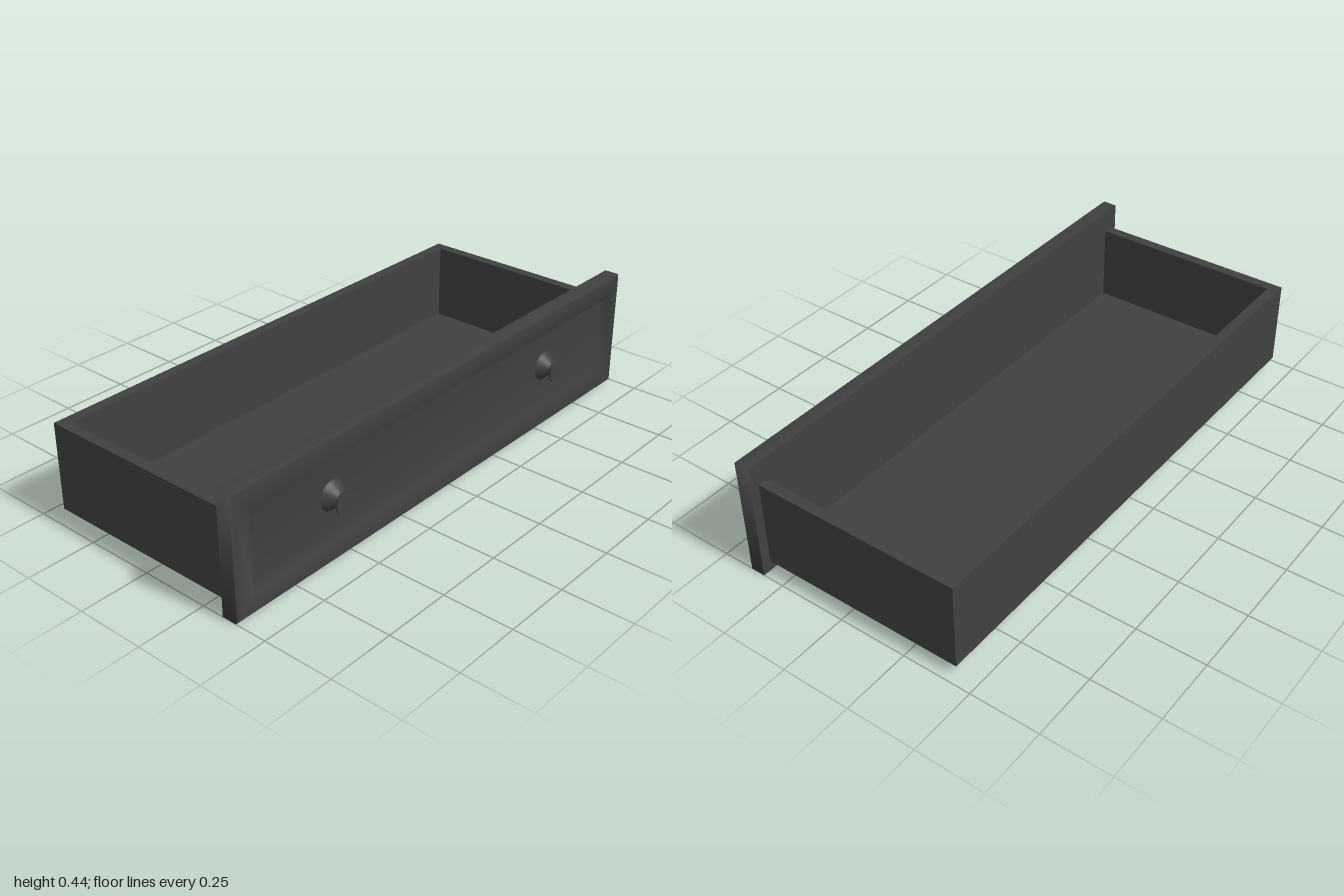
import * as THREE from 'three';

const material = new THREE.MeshStandardMaterial({ color: 0x404040, side: THREE.DoubleSide });

// Front slab: rectangular loops stepping from the back edge to the recessed field
function panelGeometry() {
  const W = 1, H = 0.437;
  const loops = [[0, 0.33], [0, 0.384], [0.006, 0.389], [0.07, 0.389], [0.088, 0.366]];
  const positions = [], index = [];
  for (const [inset, z] of loops) {
    const x = W - inset, y0 = inset, y1 = H - inset;
    positions.push(-x, y0, z, x, y0, z, x, y1, z, -x, y1, z);
  }
  for (let l = 0; l < loops.length - 1; l++) {
    for (let i = 0; i < 4; i++) {
      const a = l * 4 + i, b = l * 4 + (i + 1) % 4;
      index.push(a, b, b + 4, a, b + 4, a + 4);
    }
  }
  const c = (loops.length - 1) * 4;
  index.push(c, c + 1, c + 2, c, c + 2, c + 3);
  // Flat back face with its own corners
  const k = positions.length / 3;
  positions.push(...positions.slice(0, 12));
  index.push(k, k + 2, k + 1, k, k + 3, k + 2);
  const geometry = new THREE.BufferGeometry();
  geometry.setAttribute('position', new THREE.Float32BufferAttribute(positions, 3));
  geometry.setIndex(index);
  geometry.computeVertexNormals();
  return geometry;
}

export function createModel() {
  const group = new THREE.Group();
  const add = (name, geometry, x = 0, y = 0, z = 0) => {
    const mesh = new THREE.Mesh(geometry, material);
    mesh.name = name;
    mesh.position.set(x, y, z);
    group.add(mesh);
    return mesh;
  };

  add('frontPanel', panelGeometry());

  // Walls: a U-shaped outline, open towards the front panel, extruded upwards
  const xl = -0.971, xr = 0.967, back = 0.425, front = -0.33, t = 0.038;
  const outline = [
    [xl, front], [xl + t, front], [xl + t, back - t], [xr - t, back - t],
    [xr - t, front], [xr, front], [xr, back], [xl, back],
  ].map(([x, y]) => new THREE.Vector2(x, y));
  const walls = new THREE.ExtrudeGeometry(new THREE.Shape(outline), { depth: 0.316, bevelEnabled: false });
  walls.rotateX(-Math.PI / 2);
  add('drawerWalls', walls, 0, 0.037, 0);

  // Bottom board, raised a little above the lower edge of the walls
  const floorDepth = back - t - front;
  add('drawerBottom', new THREE.BoxGeometry(xr - xl - 2 * t, 0.012, floorDepth),
    (xl + xr) / 2, 0.061, -front - floorDepth / 2);

  // Knobs: flared foot, neck and thin disc; corners doubled to stay crisp
  const profile = [
    [0.053, 0.366], [0.02, 0.401], [0.02, 0.401], [0.02, 0.418], [0.02, 0.418],
    [0.043, 0.418], [0.043, 0.418], [0.043, 0.425], [0.043, 0.425], [0, 0.425],
  ].map(([r, z]) => new THREE.Vector2(r, z));
  const knob = new THREE.LatheGeometry(profile, 32);
  knob.rotateX(Math.PI / 2);
  for (const side of [-1, 1]) {
    add(side < 0 ? 'rightKnob' : 'leftKnob', knob, side * 0.563, 0.221, 0);
  }
  return group;
}
